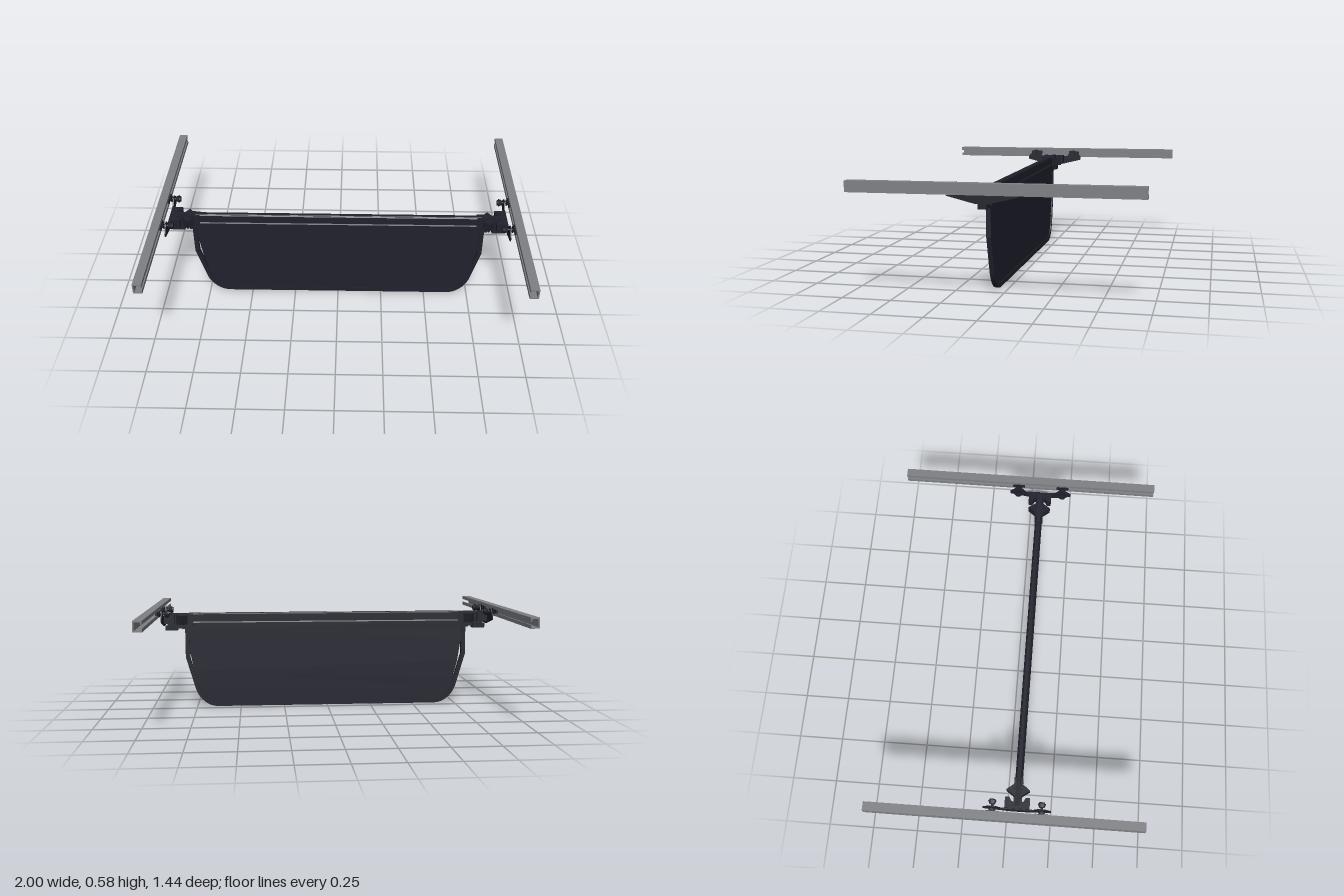
import * as THREE from 'three';

const CZ = 0.062; // depth of the crossbar's centre plane

const dark = new THREE.MeshStandardMaterial({ color: 0x20212c });
dark.name = 'dark fabric and plastic';
const grey = new THREE.MeshStandardMaterial({ color: 0x7e8084 });
grey.name = 'grey metal';

function add(parent, name, geometry, material, x = 0, y = 0, z = 0) {
  const mesh = new THREE.Mesh(geometry, material);
  mesh.name = name;
  mesh.position.set(x, y, z);
  parent.add(mesh);
  return mesh;
}

function shapeOf(points) {
  return new THREE.Shape(points.map(([x, y]) => new THREE.Vector2(x, y)));
}

function prism(points, depth) {
  const g = new THREE.ExtrudeGeometry(shapeOf(points), { depth, bevelEnabled: false });
  g.translate(0, 0, -depth / 2);
  return g;
}

// Plan outline (x, z) made into an upright block
function upright(points, height) {
  return prism(points, height).rotateX(-Math.PI / 2);
}

// Tray outline: straight top, tapering sides, rounded lower corners
function panelShape(inset) {
  const s = new THREE.Shape();
  const i = inset, top = 0.46;
  s.moveTo(-0.812 + i, top);
  s.lineTo(-0.812 + i, 0.29);
  s.lineTo(-0.757 + i, 0.1);
  s.bezierCurveTo(-0.735 + i, 0.045 + i * 0.4, -0.69 + i * 0.5, 0.002 + i, -0.63, 0.002 + i);
  s.lineTo(0.63, 0.002 + i);
  s.bezierCurveTo(0.69 - i * 0.5, 0.002 + i, 0.735 - i, 0.045 + i * 0.4, 0.757 - i, 0.1);
  s.lineTo(0.812 - i, 0.29);
  s.lineTo(0.812 - i, top);
  s.closePath();
  return s;
}

// One end fitting, built for the +x side around z = 0
function endFitting() {
  const g = new THREE.Group();

  add(g, 'barSocket', new THREE.BoxGeometry(0.06, 0.088, 0.046), dark, 0.795, 0.496, 0);
  add(g, 'diamondGusset', upright([
    [0.795, -0.02], [0.828, -0.062], [0.862, -0.014],
    [0.862, 0.014], [0.828, 0.062], [0.795, 0.02],
  ], 0.05), dark, 0, 0.505, 0);

  // Clamp with two arms that point inward
  add(g, 'clamp', upright([
    [0.925, -0.065], [0.925, 0.065], [0.868, 0.065], [0.868, 0.042], [0.89, 0.03],
    [0.89, 0.016], [0.86, 0.016], [0.86, -0.016], [0.89, -0.016], [0.89, -0.03],
    [0.868, -0.042], [0.868, -0.065],
  ], 0.05), dark, 0, 0.512, 0);
  add(g, 'clampFoot', new THREE.BoxGeometry(0.07, 0.025, 0.044), dark, 0.887, 0.458, 0);

  // Wide winged plate that carries the two knobs
  const plate = prism([
    [-0.176, 0.508], [-0.03, 0.472], [0.03, 0.472], [0.176, 0.508],
    [0.176, 0.53], [0.14, 0.565], [0.11, 0.565], [0.085, 0.53],
    [-0.085, 0.53], [-0.11, 0.565], [-0.14, 0.565], [-0.176, 0.53],
  ], 0.006);
  plate.rotateY(Math.PI / 2);
  add(g, 'wingedPlate', plate, dark, 0.928, 0, 0);

  for (const side of [-1, 1]) {
    const knob = new THREE.Group();
    knob.name = 'clampingKnob';
    knob.position.set(0, 0.55, side * 0.127);
    const disc = (name, r1, r2, len, x, n) =>
      add(knob, name, new THREE.CylinderGeometry(r1, r2, len, n).rotateZ(-Math.PI / 2), dark, x, 0, 0);
    disc('knobGrip', 0.014, 0.022, 0.018, 0.905, 10);
    disc('knobFace', 0.016, 0.016, 0.008, 0.893, 10);
    disc('knobShaft', 0.006, 0.006, 0.06, 0.93, 8);
    disc('collar', 0.01, 0.02, 0.012, 0.945, 10);
    add(knob, 'slidingNut', new THREE.BoxGeometry(0.012, 0.022, 0.068), dark, 0.955, 0, 0);
    g.add(knob);
  }
  return g;
}

export function createModel() {
  const model = new THREE.Group();
  model.name = 'hangingDivider';

  // Side rails: square channels with the slot facing inward
  for (const side of [-1, 1]) {
    const profile = [
      [0.023, -0.028], [0.023, 0.028], [-0.023, 0.028], [-0.023, 0.009],
      [-0.016, 0.009], [-0.016, 0.021], [0.016, 0.021], [0.016, -0.021],
      [-0.016, -0.021], [-0.016, -0.009], [-0.023, -0.009], [-0.023, -0.028],
    ].map(([x, y]) => [x * side, y]);
    const rail = add(model, side > 0 ? 'leftRail' : 'rightRail', prism(profile, 1.44), grey,
      side * 0.977, 0.551, 0);
    rail.rotation.x = 0.004;
  }

  // Crossbar with a stepped section: wider below, narrower above
  const bar = prism([
    [-0.02, 0.446], [0.02, 0.446], [0.02, 0.488], [0.016, 0.494], [0.016, 0.536],
    [0.009, 0.544], [-0.009, 0.544], [-0.016, 0.536], [-0.016, 0.494], [-0.02, 0.488],
  ], 1.58);
  bar.rotateY(Math.PI / 2);
  add(model, 'crossbar', bar, dark, 0, 0, CZ);

  // Inner core that joins the bar to the clamps
  add(model, 'barCore', new THREE.BoxGeometry(1.82, 0.085, 0.024), dark, 0, 0.499, CZ);

  // Rim of the hanging panel
  const rimShape = panelShape(0);
  rimShape.holes.push(new THREE.Path(panelShape(0.024).getPoints(8).reverse()));
  const rim = new THREE.ExtrudeGeometry(rimShape, { depth: 0.024, bevelEnabled: false, curveSegments: 8 });
  rim.translate(0, 0, -0.012);
  const panel = new THREE.Group();
  panel.name = 'hangingPanel';
  panel.position.set(0, 0.46, CZ);
  panel.rotation.x = 0.008;
  add(panel, 'panelRim', rim, dark, 0, -0.46, 0);

  // Fabric sheet, with a narrow gap beside the rim at each side
  const sheetShape = panelShape(0.01);
  sheetShape.holes.push(new THREE.Path([
    [-0.787, 0.38], [-0.768, 0.25], [-0.742, 0.15], [-0.758, 0.18], [-0.787, 0.285],
  ].map(([x, y]) => new THREE.Vector2(x, y))));
  sheetShape.holes.push(new THREE.Path([
    [0.787, 0.32], [0.787, 0.287], [0.765, 0.21], [0.775, 0.26],
  ].map(([x, y]) => new THREE.Vector2(x, y))));
  const sheet = new THREE.ExtrudeGeometry(sheetShape, { depth: 0.012, bevelEnabled: false, curveSegments: 8 });
  add(panel, 'fabricSheet', sheet, dark, 0, -0.46, -0.006);
  model.add(panel);

  // Matching fittings at both ends
  for (const side of [-1, 1]) {
    const fitting = endFitting();
    fitting.name = side > 0 ? 'leftEndFitting' : 'rightEndFitting';
    fitting.position.z = CZ;
    fitting.rotation.y = side > 0 ? 0 : Math.PI;
    model.add(fitting);
  }
  return model;
}
